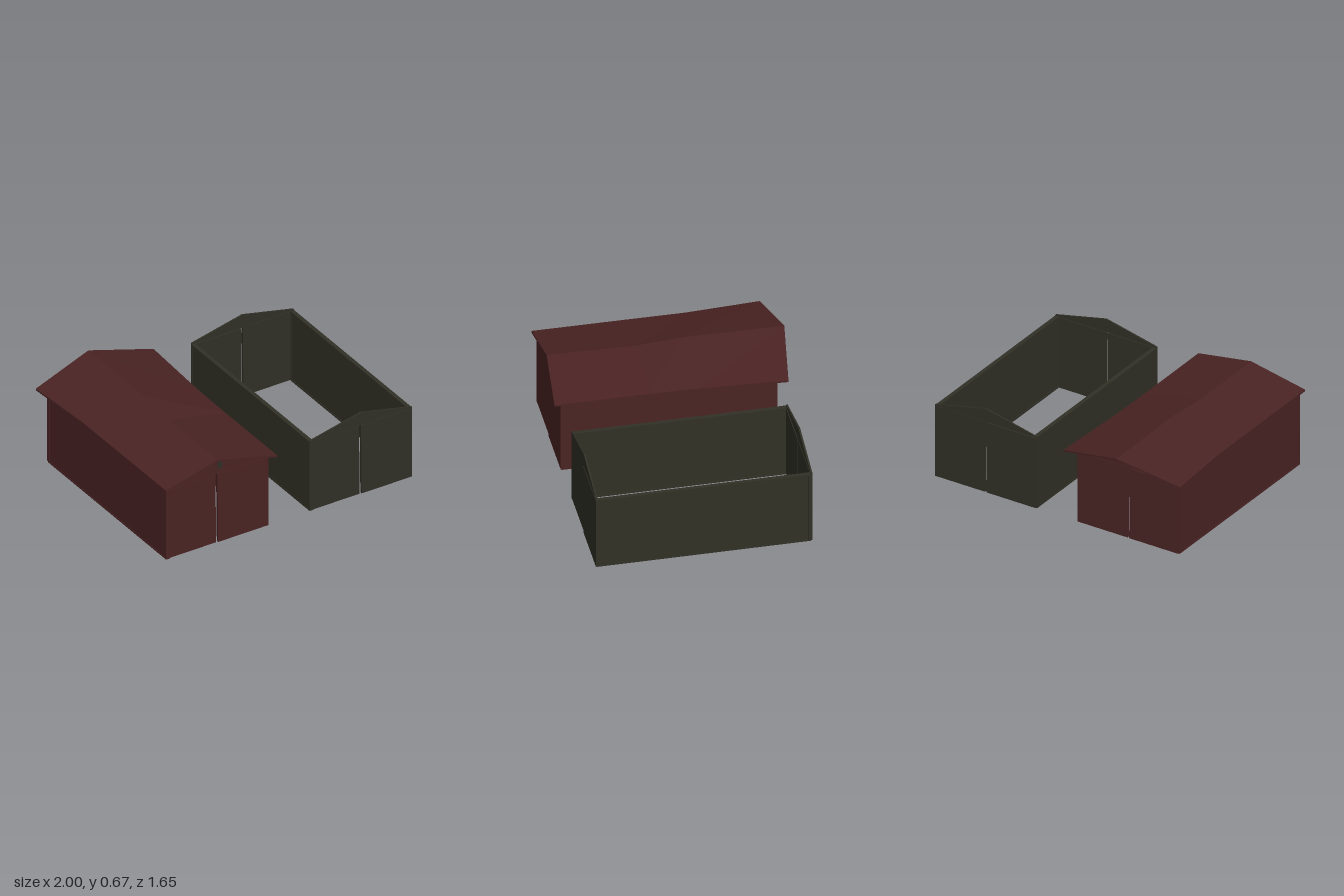
import * as THREE from 'three';

const mat = (name, color) => {
  const m = new THREE.MeshStandardMaterial({ color, flatShading: true });
  m.name = name;
  return m;
};

function add(group, name, geometry, material) {
  const mesh = new THREE.Mesh(geometry, material);
  mesh.name = name;
  group.add(mesh);
  return mesh;
}

// Box given by its lower and upper limits on each axis
function slab(group, name, material, [x0, x1], [y0, y1], [z0, z1]) {
  const mesh = add(group, name, new THREE.BoxGeometry(x1 - x0, y1 - y0, z1 - z0), material);
  mesh.position.set((x0 + x1) / 2, (y0 + y1) / 2, (z0 + z1) / 2);
}

// Upright panel whose outline lies in the x-y plane
function panel(group, name, material, points, z0, z1) {
  const shape = new THREE.Shape(points.map(([x, y]) => new THREE.Vector2(x, y)));
  const geometry = new THREE.ExtrudeGeometry(shape, { depth: z1 - z0, bevelEnabled: false });
  geometry.translate(0, 0, z0);
  add(group, name, geometry, material);
}

// Open-topped shed body: framed side walls, split end walls and gables
function shedBody(name, material) {
  const g = new THREE.Group();
  g.name = name;
  const zBack = -0.69, zFront = 0.77;
  for (const s of [-1, 1]) {
    const span = (a, b) => (s < 0 ? [-b, -a] : [a, b]);
    const side = s < 0 ? 'right' : 'left';
    slab(g, side + 'Wall', material, span(0.38, 0.402), [0.005, 0.538], [zBack, zFront]);
    slab(g, side + 'TopRail', material, span(0.375, 0.405), [0.526, 0.541], [zBack, zFront]);
    slab(g, side + 'BottomRail', material, span(0.375, 0.405), [0, 0.012], [zBack, zFront]);
    for (const z of [zBack, zFront - 0.016])
      slab(g, side + 'CornerPost', material, span(0.375, 0.405), [0, 0.541], [z, z + 0.016]);
  }
  // End panels leave a narrow tapering slit in the middle
  const leftDoor = [[0.004, 0.004], [0.402, 0.004], [0.402, 0.539], [-0.002, 0.539]];
  const rightDoor = [[-0.402, 0.004], [-0.01, 0.004], [-0.015, 0.536], [-0.402, 0.536]];
  panel(g, 'frontLeftDoor', material, leftDoor, 0.757, 0.775);
  panel(g, 'frontRightDoor', material, rightDoor, 0.76, 0.77);
  panel(g, 'backLeftPanel', material, leftDoor, -0.7, -0.685);
  panel(g, 'backRightPanel', material, rightDoor, -0.702, -0.684);
  const gable = [[-0.403, 0.541], [0.403, 0.541], [0.403, 0.548], [0, 0.638], [-0.403, 0.548]];
  panel(g, 'frontGable', material, gable, 0.76, 0.772);
  panel(g, 'backGable', material, gable, -0.7, -0.688);
  return g;
}

// Warped roof slab, lofted through cross-sections from front to back
function roofGeometry() {
  const t = 0.013;
  // each section: right-hand eave, ridge, left-hand eave
  const sections = [
    [[-0.105, 0.562, 0.825], [-0.55, 0.656, 0.785], [-0.97, 0.562, 0.80]],
    [[-0.105, 0.56, 0.18], [-0.545, 0.648, 0.18], [-0.97, 0.56, 0.18]],
    [[-0.1, 0.558, -0.15], [-0.54, 0.672, -0.13], [-0.97, 0.558, -0.25]],
    [[-0.07, 0.556, -0.76], [-0.54, 0.665, -0.83], [-1.0, 0.556, -0.76]],
  ];
  const rings = sections.map((s) => [
    ...s, ...[...s].reverse().map(([x, y, z]) => [x, y - t, z]),
  ]);
  const pos = [];
  const quad = (a, b, c, d) => pos.push(...a, ...b, ...c, ...a, ...c, ...d);
  for (let i = 0; i < rings.length - 1; i++)
    for (let j = 0; j < 6; j++) {
      const k = (j + 1) % 6;
      quad(rings[i][j], rings[i + 1][j], rings[i + 1][k], rings[i][k]);
    }
  const f = rings[0], b = rings[rings.length - 1];
  quad(f[0], f[1], f[4], f[5]);
  quad(f[1], f[2], f[3], f[4]);
  quad(b[5], b[4], b[1], b[0]);
  quad(b[4], b[3], b[2], b[1]);
  const geometry = new THREE.BufferGeometry();
  geometry.setAttribute('position', new THREE.Float32BufferAttribute(pos, 3));
  geometry.computeVertexNormals();
  return geometry;
}

export function createModel() {
  const model = new THREE.Group();
  model.name = 'sheds';
  const red = mat('darkRed', 0x4a2323);
  const green = mat('darkOlive', 0x313026);

  const redShed = shedBody('redShed', red);
  redShed.position.x = -0.545;
  const greenShed = shedBody('greenShed', green);
  greenShed.position.x = 0.59;
  model.add(redShed, greenShed);

  add(model, 'roof', roofGeometry(), red);
  // Short post under the ridge
  slab(model, 'ridgePost', green, [-0.545, -0.515], [0.58, 0.636], [0.771, 0.778]);
  return model;
}
